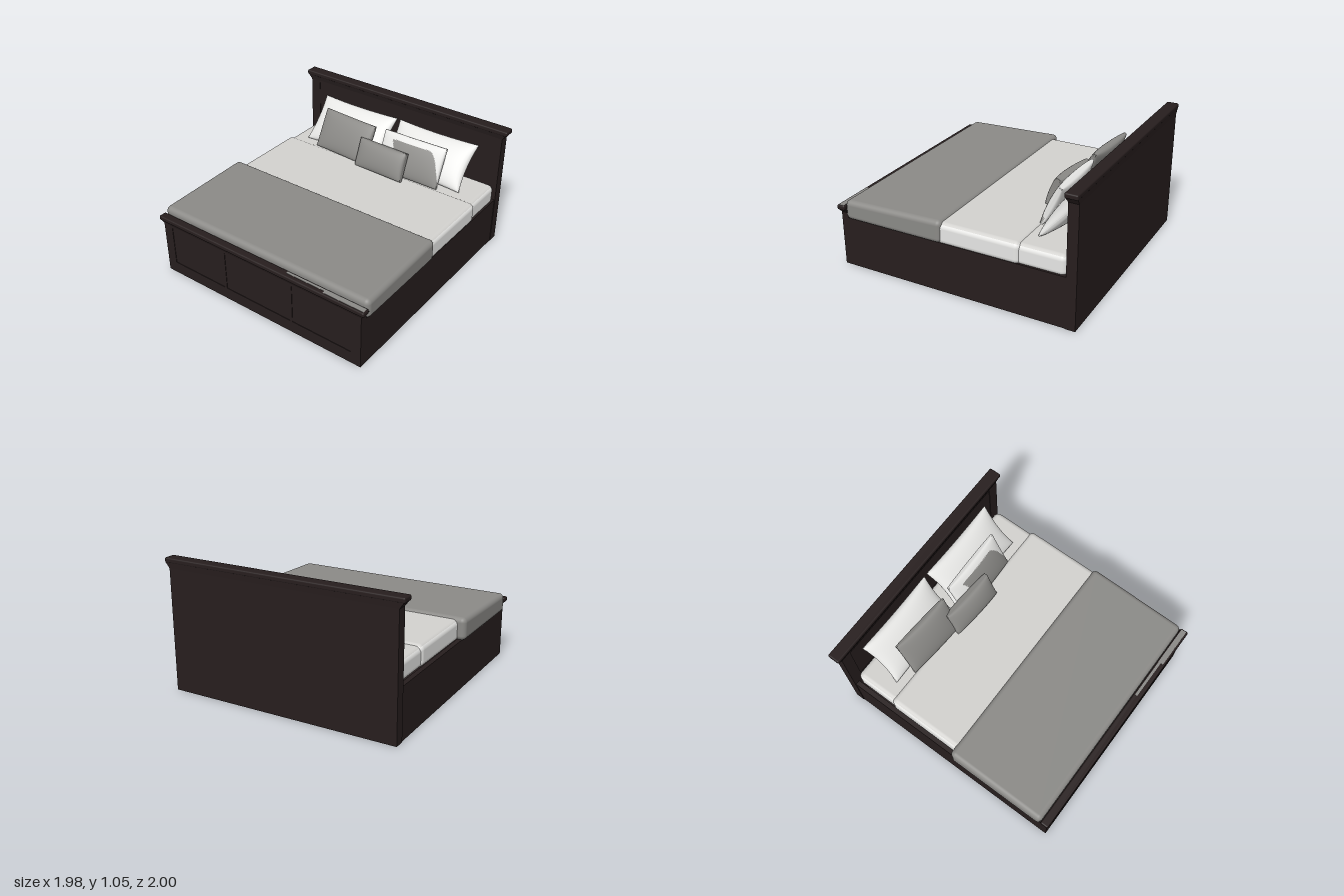
import * as THREE from 'three';
import { RoundedBoxGeometry } from 'three/addons/geometries/RoundedBoxGeometry.js';

const material = (name, color) => {
  const m = new THREE.MeshStandardMaterial({ color });
  m.name = name;
  return m;
};

export function createModel() {
  const wood = material('dark wood', 0x271e1e);
  const grey = material('grey fabric', 0x8b8a87);
  const linen = material('pale linen', 0xd3d2cf);
  const white = material('white cotton', 0xeeeeec);
  const bed = new THREE.Group();
  bed.name = 'bed';

  const add = (name, geometry, mat) => {
    const mesh = new THREE.Mesh(geometry, mat);
    mesh.name = name;
    bed.add(mesh);
    return mesh;
  };

  // Box given by its lower and upper limits, optionally rounded
  const block = (name, mat, x0, x1, y0, y1, z0, z1, radius = 0) => {
    const s = [x1 - x0, y1 - y0, z1 - z0];
    const g = radius ? new RoundedBoxGeometry(...s, 5, radius) : new THREE.BoxGeometry(...s);
    g.translate((x0 + x1) / 2, (y0 + y1) / 2, (z0 + z1) / 2);
    return add(name, g, mat);
  };

  // Moulding that flares from a narrow bottom to a wide top
  const flare = (name, halfX, y0, y1, z0, z1, inX, inBack, inFront) => {
    const m = block(name, wood, -halfX, halfX, y0, y1, z0, z1);
    const p = m.geometry.attributes.position;
    const mid = (y0 + y1) / 2, midZ = (z0 + z1) / 2;
    for (let i = 0; i < p.count; i++) {
      if (p.getY(i) > mid) continue;
      p.setX(i, p.getX(i) - Math.sign(p.getX(i)) * inX);
      p.setZ(i, p.getZ(i) > midZ ? z1 - inFront : z0 + inBack);
    }
    m.geometry.computeVertexNormals();
  };

  const rect = (Type, x0, x1, y0, y1) => new Type([
    new THREE.Vector2(x0, y0), new THREE.Vector2(x1, y0),
    new THREE.Vector2(x1, y1), new THREE.Vector2(x0, y1)]);

  // Raised frame with shallow panels showing through its openings
  const panelFrame = (name, halfX, y0, y1, z, depth, openings) => {
    const shape = rect(THREE.Shape, -halfX, halfX, y0, y1);
    for (const o of openings) shape.holes.push(rect(THREE.Path, ...o));
    const g = new THREE.ExtrudeGeometry(shape, { depth, bevelEnabled: false });
    add(name, g.translate(0, 0, z), wood);
  };

  // Headboard
  block('headboardPanel', wood, -0.95, 0.95, 0, 1.0, -0.995, -0.919);
  panelFrame('headboardFrame', 0.95, 0, 1.0, -0.919, 0.005, [[-0.86, 0.86, 0.5, 0.96]]);
  flare('headboardMoulding', 0.982, 0.975, 1.02, -0.998, -0.905, 0.032, 0.003, 0.01);
  block('headboardCap', wood, -0.99, 0.99, 1.015, 1.055, -1, -0.9, 0.012);

  // Footboard
  block('footboardPanel', wood, -0.945, 0.945, 0, 0.48, 0.92, 0.976);
  panelFrame('footboardFrame', 0.945, 0, 0.48, 0.976, 0.004,
    [[-0.86, -0.335, 0.1, 0.43], [-0.31, 0.31, 0.1, 0.43], [0.335, 0.86, 0.1, 0.43]]);
  flare('footboardMoulding', 0.97, 0.45, 0.485, 0.92, 0.993, 0.025, 0, 0.013);
  block('footboardCap', wood, -0.975, 0.975, 0.475, 0.515, 0.932, 1, 0.012);
  block('footboardCapPatch', grey, 0.28, 0.62, 0.511, 0.517, 0.945, 0.965);
  block('footboardCapPatch', grey, 0.62, 0.965, 0.511, 0.517, 0.942, 0.985);

  // Side rails and sunken base
  for (const s of [-1, 1]) {
    block(s > 0 ? 'leftRail' : 'rightRail', wood,
      Math.min(s * 0.905, s * 0.945), Math.max(s * 0.905, s * 0.945), 0, 0.41, -0.93, 0.93);
  }
  block('baseBoard', wood, -0.91, 0.91, 0.09, 0.13, -0.93, 0.93);

  // Mattress and bedding; the hanging sides are whiter than the tops
  const whiteSides = [white, white, linen, linen, white, white];
  block('mattress', whiteSides, -0.9, 0.935, 0.39, 0.558, -0.905, 0.91, 0.045);
  block('duvet', whiteSides, -0.912, 0.952, 0.395, 0.57, -0.557, 0.2, 0.045);
  const blanket = block('blanket', grey, -0.975, 0.967, 0.405, 0.588, 0.075, 0.93, 0.04);
  const bp = blanket.geometry.attributes.position;
  for (let i = 0; i < bp.count; i++) {
    // the top sinks gently towards the foot
    if (bp.getY(i) > 0.5) bp.setY(i, bp.getY(i) - 0.025 * (bp.getZ(i) - 0.08) / 0.85);
  }

  // Cushion: a swollen slab with drawn-in sides and pointed corners
  const cushion = (w, h, t, pinch, rim, n = 20) => {
    const g = new THREE.BoxGeometry(2, 2, 2, n, n, 1);
    const p = g.attributes.position;
    for (let i = 0; i < p.count; i++) {
      const u = Math.sin(p.getX(i) * Math.PI / 2), v = Math.sin(p.getY(i) * Math.PI / 2);
      const swell = Math.pow(Math.max(0, (1 - u * u) * (1 - v * v)), 0.42);
      p.setXYZ(i,
        u * w * (1 - pinch * (1 - v * v)),
        v * h * (1 - pinch * (1 - u * u)),
        Math.sign(p.getZ(i)) * t * (rim + (1 - rim) * swell));
    }
    g.computeVertexNormals();
    return g;
  };

  // Sorts faces into two colour groups by a test on the face centre
  const twoTone = (g, test) => {
    const p = g.attributes.position, ix = g.index.array, lists = [[], []];
    for (let i = 0; i < ix.length; i += 3) {
      const f = [ix[i], ix[i + 1], ix[i + 2]];
      const mean = k => f.reduce((sum, a) => sum + p.getComponent(a, k), 0) / 3;
      lists[test(mean(0), mean(1), mean(2)) ? 1 : 0].push(...f);
    }
    g.setIndex([...lists[0], ...lists[1]]);
    g.clearGroups();
    g.addGroup(0, lists[0].length, 0);
    g.addGroup(lists[0].length, lists[1].length, 1);
    return g;
  };

  const place = (mesh, x, y, z, lean, turn = 0, roll = 0) => {
    mesh.rotation.set(-lean, turn, roll, 'YXZ');
    mesh.position.set(x, y, z);
  };

  // Sleeping pillows against the headboard
  for (const s of [-1, 1]) {
    place(add(s > 0 ? 'leftPillow' : 'rightPillow', cushion(0.375, 0.208, 0.08, 0.06, 0.06), white),
      s * 0.39, 0.717, -0.755, 0.74);
  }

  // Square cushions, the left one with a pale upper border
  place(add('rightCushion', cushion(0.265, 0.17, 0.06, 0.015, 0.15), grey),
    -0.345, 0.718, -0.607, 0.45, -0.07);
  const mixed = twoTone(cushion(0.29, 0.17, 0.06, 0.015, 0.15, 64), (x, y, z) =>
    z > 0 && y < 0.115 - 14 * Math.max(0, x - 0.16) ** 2 && x > -0.08 - 0.5 * (y + 0.1));
  place(add('leftCushion', mixed, [white, grey]), 0.305, 0.718, -0.615, 0.45, 0.02);

  // Small front cushion
  place(add('smallCushion', cushion(0.235, 0.12, 0.065, 0.015, 0.25), grey),
    0.08, 0.68, -0.515, 0.38, -0.08, 0.03);

  return bed;
}
